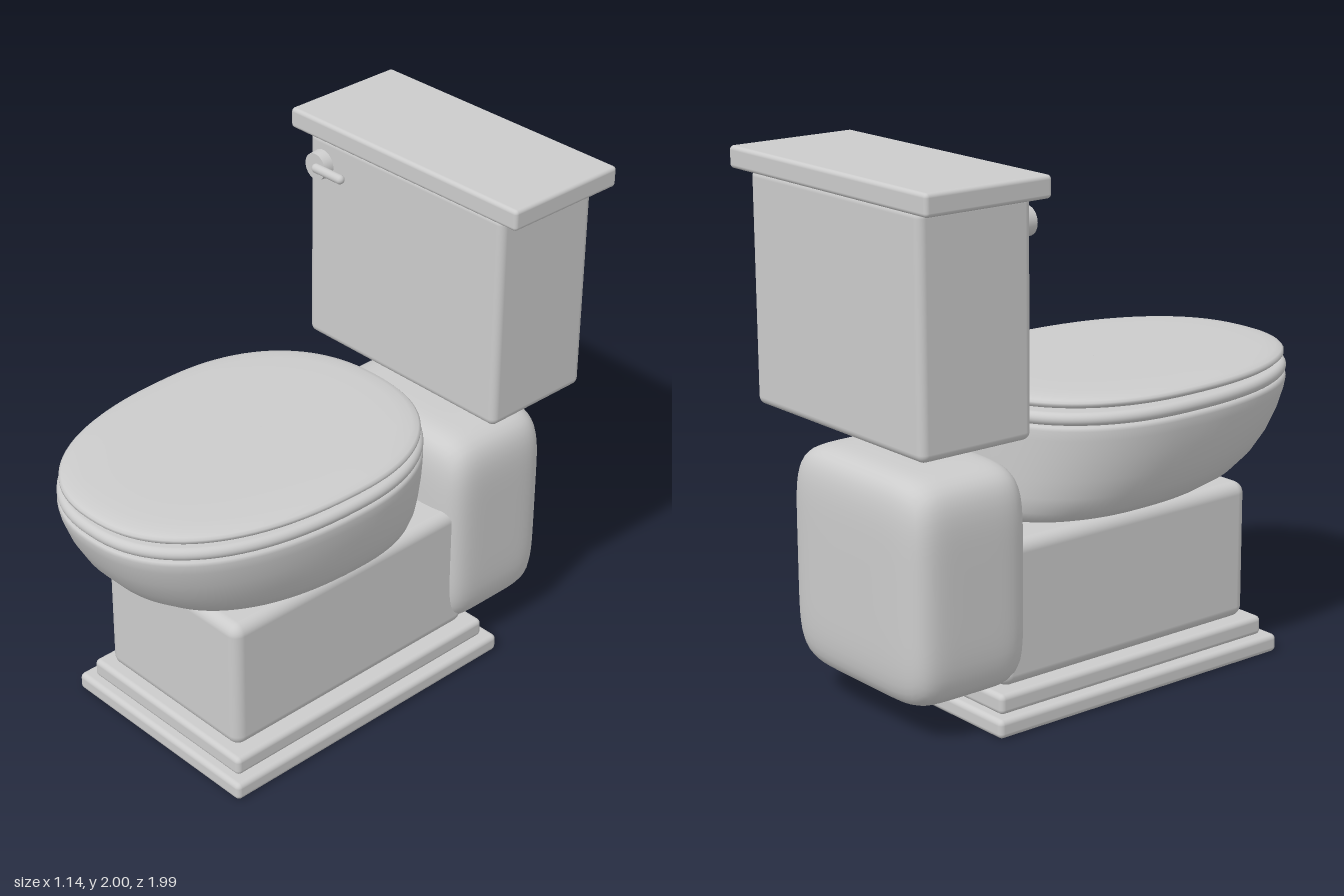
import * as THREE from 'three';
import { RoundedBoxGeometry } from 'three/addons/geometries/RoundedBoxGeometry.js';
import { mergeVertices } from 'three/addons/utils/BufferGeometryUtils.js';

const mat = new THREE.MeshStandardMaterial({ color: 0xcccccc });

function add(parent, name, geometry) {
  const mesh = new THREE.Mesh(geometry, mat);
  mesh.name = name;
  parent.add(mesh);
  return mesh;
}

// Rounded box given by its limits on each axis (symmetric in x).
function block(parent, name, halfX, y0, y1, z0, z1, radius) {
  const mesh = add(parent, name, new RoundedBoxGeometry(halfX * 2, y1 - y0, z1 - z0, 4, radius));
  mesh.position.set(0, (y0 + y1) / 2, (z0 + z1) / 2);
  return mesh;
}

// Soft pillow-like block: a cube bent onto a superellipsoid.
function softBlock(halfX, halfY, halfZ, n) {
  let geo = new THREE.BoxGeometry(2, 2, 2, 20, 20, 20);
  geo.deleteAttribute('normal');
  geo.deleteAttribute('uv');
  geo = mergeVertices(geo);
  const p = geo.attributes.position;
  const v = new THREE.Vector3();
  for (let i = 0; i < p.count; i++) {
    v.fromBufferAttribute(p, i);
    const d = Math.abs(v.x) ** n + Math.abs(v.y) ** n + Math.abs(v.z) ** n;
    v.multiplyScalar(d ** (-1 / n));
    p.setXYZ(i, v.x * halfX, v.y * halfY, v.z * halfZ);
  }
  geo.computeVertexNormals();
  return geo;
}

// Egg-shaped loft. Each level is [y, half width, front z, back z], in order
// so that the outer wall rises.
function eggLoft(levels, sides = 96) {
  const pos = [], idx = [];
  const power = (c) => Math.sign(c) * Math.abs(c) ** (2 / 2.3);
  levels.forEach(([y, w, front, back], k) => {
    const mid = back + (front - back) * 0.425;
    for (let i = 0; i < sides; i++) {
      const a = (i / sides) * Math.PI * 2;
      const s = power(Math.sin(a));
      pos.push(w * power(Math.cos(a)), y, mid + s * (s > 0 ? front - mid : mid - back));
      if (k === levels.length - 1) continue;
      const j = (i + 1) % sides;
      const p = k * sides + i, q = k * sides + j;
      idx.push(p, p + sides, q, q, p + sides, q + sides);
    }
  });
  const geo = new THREE.BufferGeometry();
  geo.setAttribute('position', new THREE.Float32BufferAttribute(pos, 3));
  geo.setIndex(idx);
  geo.computeVertexNormals();
  return geo;
}

// Full rim outline inset evenly by d at height y.
const rim = (y, d) => [y, 0.525 - d, 1.0 - d, -0.39 + d];

export function createModel() {
  const model = new THREE.Group();
  model.name = 'toilet';

  // Stepped base and pedestal
  block(model, 'baseLower', 0.455, 0, 0.07, -0.61, 0.73, 0.02);
  block(model, 'baseUpper', 0.41, 0.065, 0.14, -0.57, 0.69, 0.02);
  block(model, 'pedestal', 0.36, 0.135, 0.67, -0.52, 0.65, 0.045);

  // Rounded support behind the bowl
  add(model, 'rearSupport', softBlock(0.4, 0.42, 0.26, 6)).position.set(0, 0.54, -0.66);

  // Bowl: outer wall, rim, then the hollow inside
  add(model, 'bowl', eggLoft([
    [0.64, 0.002, 0.16, 0.156],
    [0.642, 0.18, 0.45, -0.2],
    [0.655, 0.29, 0.6, -0.33],
    [0.68, 0.37, 0.7, -0.37],
    [0.72, 0.425, 0.78, -0.387],
    [0.78, 0.463, 0.86, -0.39],
    [0.85, 0.49, 0.92, -0.39],
    [0.93, 0.511, 0.965, -0.39],
    [1.0, 0.522, 0.992, -0.39],
    rim(1.035, 0.0),
    rim(1.048, 0.004),
    rim(1.054, 0.015),
    rim(1.054, 0.12),
    rim(1.04, 0.135),
    [0.9, 0.35, 0.78, -0.22],
    [0.78, 0.22, 0.58, -0.1],
    [0.72, 0.002, 0.22, 0.216],
  ]));

  // Seat ring with a rounded section
  const ring = [];
  for (let i = 0; i <= 24; i++) {
    const a = -Math.PI / 2 + (i / 24) * Math.PI * 2;
    const c = Math.cos(a), s = Math.sin(a);
    const d = c >= 0 ? 0.024 * (1 - c) : 0.11 - 0.024 * (1 + c);
    ring.push(rim(1.076 + 0.024 * s, d));
  }
  add(model, 'seat', eggLoft(ring));

  // Closed lid, thin and slightly domed on both faces
  add(model, 'seatLid', eggLoft([
    [1.1, 0.002, 0.2, 0.196],
    rim(1.102, 0.12),
    rim(1.108, 0.05),
    rim(1.116, 0.02),
    rim(1.125, 0.01),
    rim(1.135, 0.01),
    rim(1.143, 0.018),
    rim(1.15, 0.04),
    rim(1.156, 0.09),
    rim(1.158, 0.2),
    [1.159, 0.002, 0.2, 0.196],
  ]));

  // Cistern and its cover
  block(model, 'tank', 0.49, 1.08, 1.93, -0.96, -0.49, 0.03);
  block(model, 'tankCover', 0.57, 1.92, 2.0, -0.99, -0.47, 0.015);

  // Flush handle
  const handle = new THREE.Group();
  handle.name = 'flushHandle';
  handle.position.set(-0.415, 1.82, -0.47);
  const plate = add(handle, 'handlePlate', new THREE.CylinderGeometry(0.052, 0.056, 0.04, 32));
  plate.rotation.x = Math.PI / 2;
  const lever = add(handle, 'handleLever', new THREE.CapsuleGeometry(0.018, 0.125, 6, 16));
  lever.rotation.z = Math.PI / 2;
  lever.position.set(0.075, 0, 0.025);
  model.add(handle);

  return model;
}
